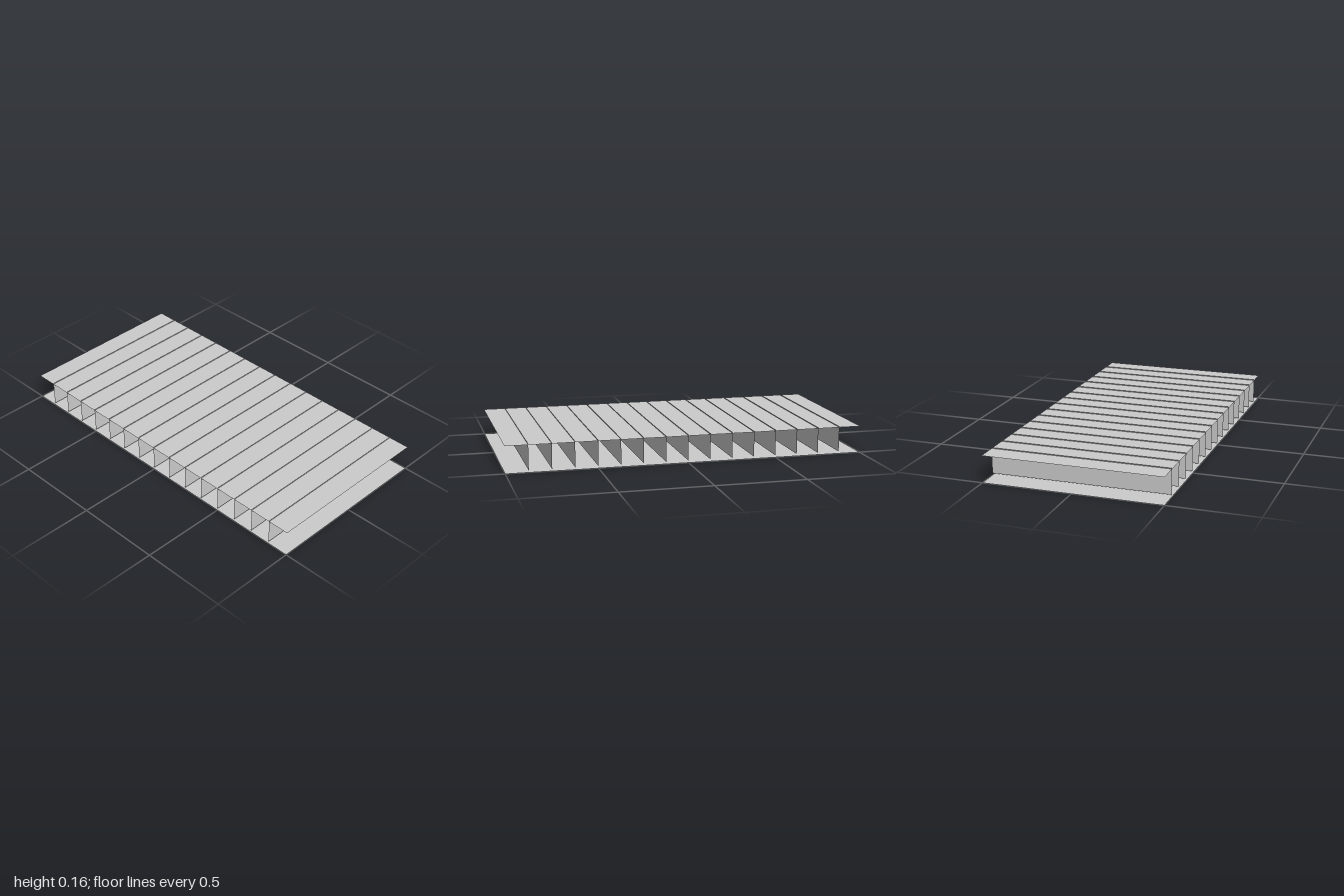
import * as THREE from 'three';

const LENGTH = 2, DEPTH = 1;
const TOP_Y = 0.15;                     // height of the upper sheet
const RIB_BOTTOM = 0.011, RIB_TOP = 0.155; // ribs stand slightly proud of the upper sheet
const RIB_COUNT = 15, RIB_SPACING = 0.125;

export function createModel() {
  const group = new THREE.Group();
  group.name = 'ribbedSandwichPanel';
  const material = new THREE.MeshStandardMaterial({ color: 0xcccccc, side: THREE.DoubleSide, flatShading: true });

  // Thin face sheets, lower and upper
  const sheet = new THREE.PlaneGeometry(LENGTH, DEPTH).rotateX(-Math.PI / 2);
  for (const [name, y] of [['bottomSheet', 0], ['topSheet', TOP_Y]]) {
    const mesh = new THREE.Mesh(sheet, material);
    mesh.name = name;
    mesh.position.y = y;
    group.add(mesh);
  }

  // Row of upright ribs running front to back
  const rib = new THREE.PlaneGeometry(DEPTH, RIB_TOP - RIB_BOTTOM).rotateY(Math.PI / 2);
  const ribs = new THREE.Group();
  ribs.name = 'ribs';
  for (let i = 0; i < RIB_COUNT; i++) {
    const mesh = new THREE.Mesh(rib, material);
    mesh.name = 'rib';
    mesh.position.set((i - (RIB_COUNT - 1) / 2) * RIB_SPACING, (RIB_BOTTOM + RIB_TOP) / 2, 0);
    ribs.add(mesh);
  }
  group.add(ribs);
  return group;
}
